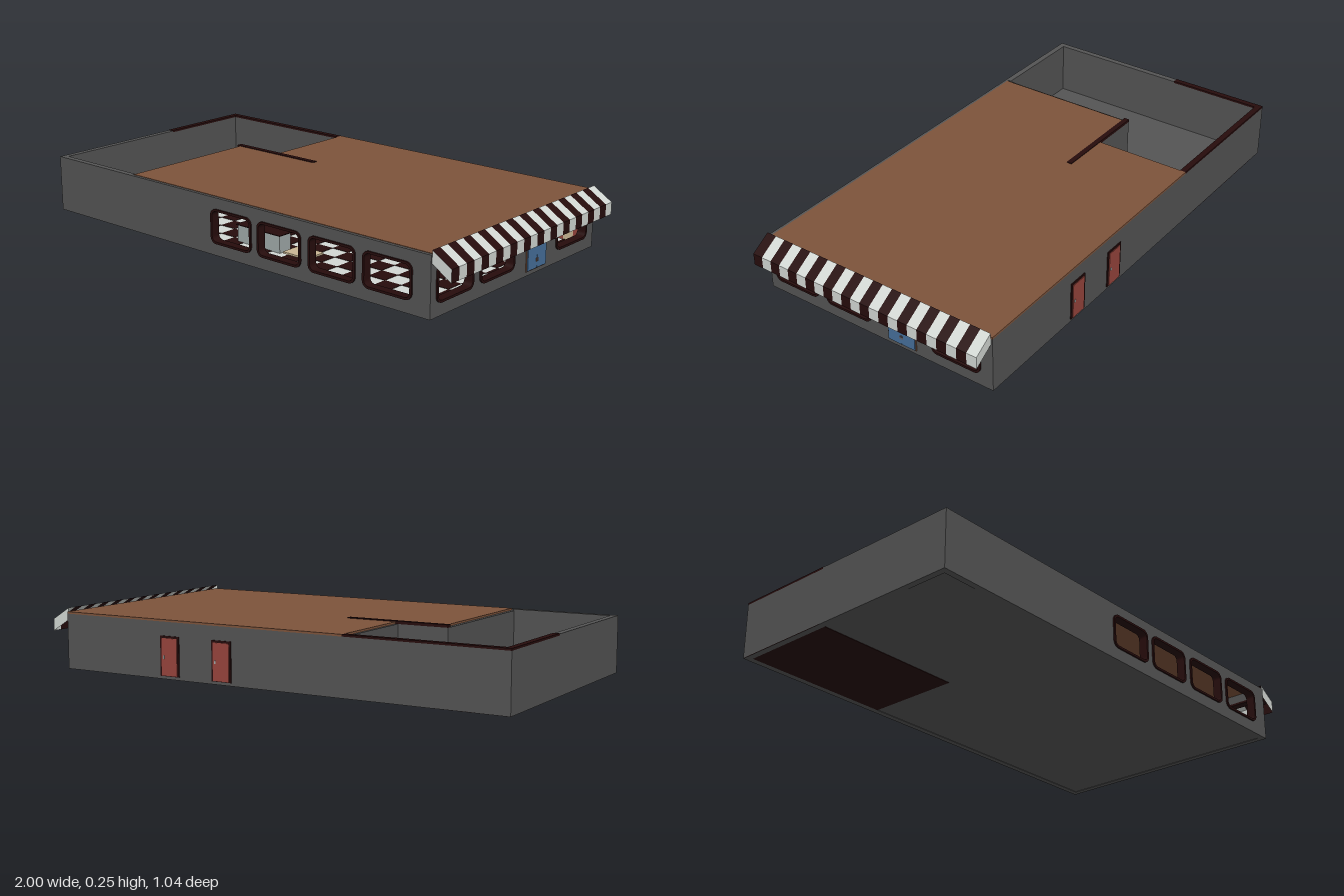
import * as THREE from 'three';

const mat = (name, color, side = THREE.FrontSide) => {
  const m = new THREE.MeshStandardMaterial({ color, side });
  m.name = name;
  return m;
};

export function createModel() {
  const grey = mat('wall grey', 0x545454);
  const brown = mat('roof brown', 0x7d533b);
  const dark = mat('dark trim', 0x260c0c, THREE.DoubleSide);
  const red = mat('brick red', 0x97443c);
  const cream = mat('cream', 0xcbb795);
  const blue = mat('door blue', 0x466f9a);
  const white = mat('off white', 0xd2d7d3, THREE.DoubleSide);
  const metal = mat('pale grey', 0xa0a9a8);

  const root = new THREE.Group();
  root.name = 'diner';

  const add = (name, geo, material, parent = root) => {
    const m = new THREE.Mesh(geo, material);
    m.name = name;
    parent.add(m);
    return m;
  };
  const box = (name, material, x0, x1, y0, y1, z0, z1, parent = root) => {
    const m = add(name, new THREE.BoxGeometry(x1 - x0, y1 - y0, z1 - z0), material, parent);
    m.position.set((x0 + x1) / 2, (y0 + y1) / 2, (z0 + z1) / 2);
    return m;
  };
  const group = (name) => {
    const g = new THREE.Group();
    g.name = name;
    root.add(g);
    return g;
  };

  // Rounded rectangle outline for window openings and frames
  const rounded = (target, x0, x1, y0, y1, r) => {
    target.moveTo(x0 + r, y0);
    target.lineTo(x1 - r, y0);
    target.absarc(x1 - r, y0 + r, r, -Math.PI / 2, 0);
    target.absarc(x1 - r, y1 - r, r, 0, Math.PI / 2);
    target.absarc(x0 + r, y1 - r, r, Math.PI / 2, Math.PI);
    target.absarc(x0 + r, y0 + r, r, Math.PI, Math.PI * 1.5);
    return target;
  };

  // Wall in local x/y with window holes and protruding frames; outside faces local +z
  const windowWall = (name, u0, u1, windows) => {
    const g = group(name);
    const shape = new THREE.Shape([[u0, 0], [u1, 0], [u1, 0.222], [u0, 0.222]].map((p) => new THREE.Vector2(...p)));
    for (const [a, b] of windows) {
      shape.holes.push(rounded(new THREE.Path(), a + 0.005, b - 0.005, 0.053, 0.18, 0.023));
      const ring = rounded(new THREE.Shape(), a, b, 0.048, 0.185, 0.028);
      ring.holes.push(rounded(new THREE.Path(), a + 0.009, b - 0.009, 0.057, 0.176, 0.02));
      const frame = add('windowFrame', new THREE.ExtrudeGeometry(ring, { depth: 0.036, bevelEnabled: false, curveSegments: 5 }), dark, g);
      frame.position.z = -0.03;
    }
    const wall = add('wallPanel', new THREE.ExtrudeGeometry(shape, { depth: 0.025, bevelEnabled: false, curveSegments: 5 }), grey, g);
    wall.position.z = -0.025;
    return g;
  };

  // Outer walls
  windowWall('frontWall', -1, 0.92, [[-0.11, 0.1], [0.13, 0.345], [0.38, 0.597], [0.63, 0.845]]).position.z = 0.51;
  const side = windowWall('leftSideWall', -0.485, 0.495, [[-0.48, -0.268], [-0.23, -0.017], [0.255, 0.469]]);
  side.rotation.y = Math.PI / 2;
  side.position.x = 0.92;
  box('backWall', grey, -1, 0.92, 0, 0.222, -0.52, -0.495);
  box('yardSideWall', grey, -1, -0.975, 0, 0.222, -0.495, 0.485);
  box('frontWallCap', grey, -1, 0.92, 0.222, 0.228, 0.497, 0.51);
  box('yardFrontCap', grey, -1, -0.565, 0.222, 0.228, 0.485, 0.497);
  box('yardSideCap', grey, -1, -0.975, 0.222, 0.228, -0.1, 0.485);
  box('yardBackTrim', dark, -0.975, -0.35, 0.222, 0.23, -0.52, -0.495);
  box('yardSideTrim', dark, -1, -0.975, 0.222, 0.23, -0.52, -0.1);

  // Walls between the yard and the rooms
  box('yardLongWall', grey, -0.57, -0.55, 0.01, 0.222, -0.12, 0.485);
  box('yardShortWall', grey, -0.36, -0.342, 0.01, 0.222, -0.495, -0.12);
  box('partitionWall', grey, -0.55, -0.14, 0.01, 0.222, -0.12, -0.1);
  box('partitionTrim', dark, -0.57, -0.14, 0.222, 0.233, -0.121, -0.099);

  // Base and the dark plate under the yard corner
  box('base', grey, -0.999, 0.919, 0.002, 0.01, -0.519, 0.509);
  box('yardUnderside', dark, -1, -0.35, 0, 0.002, -0.52, -0.1);

  // Flat roof in two pieces around the yard
  box('roofBack', brown, -0.35, 0.92, 0.222, 0.23, -0.52, -0.11);
  box('roofFront', brown, -0.555, 0.92, 0.222, 0.23, -0.11, 0.497);

  // Chequered floor: white sheet with dark tiles
  const floor = group('chequeredFloor');
  box('floorBack', white, -0.342, 0.895, 0.01, 0.012, -0.495, -0.1, floor);
  box('floorFront', white, -0.55, 0.895, 0.01, 0.012, -0.1, 0.485, floor);
  const tile = 0.075;
  for (let i = 0; i < 19; i++) {
    for (let j = 0; j < 13; j++) {
      const x = -0.54 + i * tile, z = -0.493 + j * tile;
      if ((i + j) % 2 || (x < -0.34 && z < -0.1)) continue;
      box('darkTile', dark, x, x + tile, 0.012, 0.0135, z, z + tile, floor);
    }
  }

  // Striped wall lining with a pale band and dark rail above
  const lining = group('stripedLining');
  const line = (u0, u1, put) => {
    const n = Math.round((u1 - u0) / 0.043);
    const w = (u1 - u0) / n;
    for (let i = 0; i < n; i++) put('stripe', i % 2 ? cream : red, u0 + i * w, u0 + (i + 1) * w, 0.013, 0.146);
    put('rail', dark, u0, u1, 0.146, 0.152);
    put('upperBand', metal, u0, u1, 0.152, 0.222);
  };
  const alongX = (z) => (name, m, a, b, y0, y1) => box(name, m, a, b, y0, y1, z, z + 0.004, lining);
  const alongZ = (x) => (name, m, a, b, y0, y1) => box(name, m, x, x + 0.004, y0, y1, a, b, lining);
  line(-0.342, 0.895, alongX(-0.495));
  line(-0.55, -0.14, alongX(-0.1));
  line(-0.49, -0.12, alongZ(-0.342));
  line(-0.096, 0.485, alongZ(-0.55));

  // Inner doors
  box('yardDoorFrame', dark, -0.366, -0.335, 0.012, 0.172, -0.338, -0.25);
  box('yardDoor', brown, -0.369, -0.332, 0.012, 0.163, -0.329, -0.259);
  box('innerDoor', brown, -0.546, -0.54, 0.012, 0.165, 0.05, 0.14);

  // Counter and tables
  box('counter', metal, -0.12, 0.1, 0.012, 0.08, 0.3, 0.36);
  box('counterSide', metal, -0.12, -0.06, 0.012, 0.08, 0.02, 0.3);
  box('counterTop', dark, -0.125, 0.105, 0.08, 0.083, 0.295, 0.365);
  box('counterSideTop', dark, -0.125, -0.055, 0.08, 0.083, 0.015, 0.295);
  box('tableTop', cream, 0.2, 0.32, 0.058, 0.065, 0.36, 0.45);
  box('tableLeg', metal, 0.25, 0.27, 0.012, 0.058, 0.395, 0.415);

  // Red service doors at the back
  for (const x of [0.17, 0.41]) {
    box('backDoorFrame', dark, x - 0.044, x + 0.044, 0.012, 0.168, -0.524, -0.519);
    box('backDoor', red, x - 0.036, x + 0.036, 0.015, 0.16, -0.527, -0.52);
    box('backDoorHandle', metal, x + 0.022, x + 0.028, 0.08, 0.092, -0.529, -0.526);
  }

  // Blue double entrance door
  box('entranceFrame', brown, 0.919, 0.923, 0.016, 0.168, -0.187, -0.06);
  for (const [z0, z1, h] of [[-0.183, -0.1238, -0.128], [-0.1232, -0.064, -0.119]]) {
    box('entranceDoor', blue, 0.919, 0.927, 0.02, 0.163, z0, z1);
    for (const y of [0.045, 0.115]) box('entranceHandle', brown, 0.926, 0.929, y, y + 0.014, h - 0.0015, h + 0.0015);
  }

  // Striped awning with hanging valance and end panels
  const awning = group('awning');
  const count = 24, z0 = 0.505, w = 1.018 / count;
  for (let i = 0; i < count; i++) {
    const a = z0 - i * w, b = a - w;
    const geo = new THREE.BufferGeometry();
    const pts = [[0.92, 0.245], [1, 0.195], [1, 0.147]].flatMap(([x, y]) => [x, y, a, x, y, b]);
    geo.setAttribute('position', new THREE.Float32BufferAttribute(pts, 3));
    geo.setIndex([0, 2, 1, 1, 2, 3, 2, 4, 3, 3, 4, 5]);
    const flat = geo.toNonIndexed();
    flat.computeVertexNormals();
    add('awningStripe', flat, i % 2 ? white : dark, awning);
  }
  const end = new THREE.Shape([[0.92, 0.245], [0.92, 0.197], [1, 0.147], [1, 0.195]].map((p) => new THREE.Vector2(...p)));
  for (const z of [z0, z0 - 1.018]) add('awningEnd', new THREE.ShapeGeometry(end), white, awning).position.z = z;

  return root;
}
